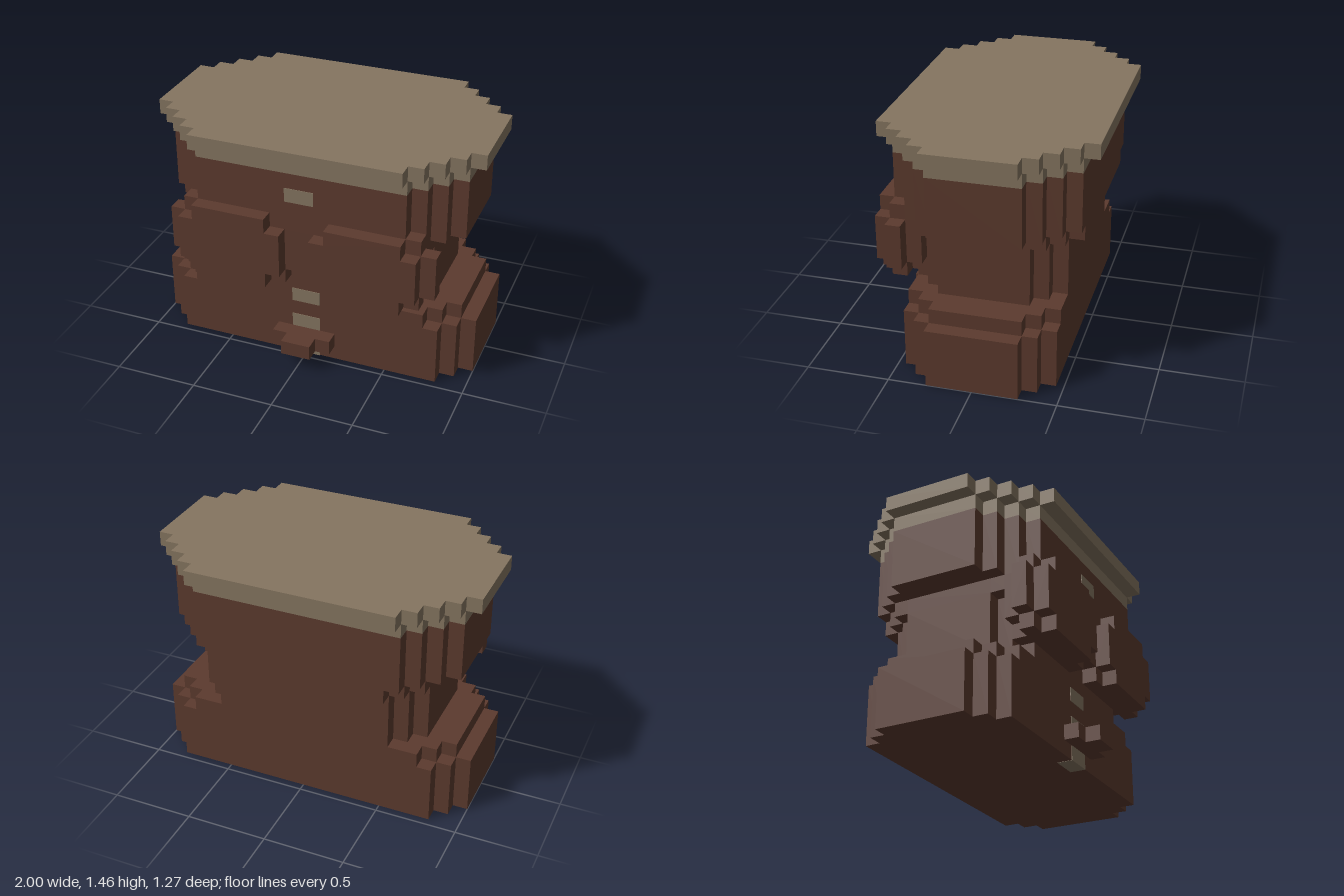
import * as THREE from 'three';
import { mergeGeometries } from 'three/addons/utils/BufferGeometryUtils.js';

const U = 1 / 11; // size of one block

const brown = new THREE.MeshStandardMaterial({ color: 0x5c3a2e });
brown.name = 'brown';
const tan = new THREE.MeshStandardMaterial({ color: 0x857560 });
tan.name = 'tan';

// Layer with stepped corners: halves[0] is the half width for |z| < 3,
// every further entry is one more row of blocks outward.
function layer(halves, y0, y1) {
  const right = [];
  halves.forEach((h, i) => {
    right.push([h, i === 0 ? 0 : 2 + i], [h, 3 + i]);
  });
  right.shift();
  const back = right.map(([x, z]) => [x, -z]).reverse();
  const side = [...back, ...right];
  const other = side.map(([x, z]) => [-x, z]).reverse();
  const pts = [...side, ...other].map(([x, z]) => new THREE.Vector2(x * U, z * U));
  const geo = new THREE.ExtrudeGeometry(new THREE.Shape(pts), {
    depth: (y1 - y0) * U, bevelEnabled: false,
  });
  return geo.rotateX(-Math.PI / 2).translate(0, y0 * U, 0);
}

// Box between two corners, in blocks
function block(x0, x1, y0, y1, z0, z1) {
  return new THREE.BoxGeometry((x1 - x0) * U, (y1 - y0) * U, (z1 - z0) * U)
    .translate((x0 + x1) / 2 * U, (y0 + y1) / 2 * U, (z0 + z1) / 2 * U);
}

export function createModel() {
  const group = new THREE.Group();
  const add = (name, geo, mat) => {
    const mesh = new THREE.Mesh(geo, mat);
    mesh.name = name;
    group.add(mesh);
  };

  // Flared skirt, waist and upper torso
  add('skirt', layer([11, 10, 9], 0, 4), brown);
  add('skirtRim', layer([10, 9, 8], 4, 5), brown);
  add('waist', layer([8, 7, 6], 5, 9), brown);
  add('ribs', layer([8, 8, 7, 6], 9, 10), brown);
  add('upperTorso', layer([10, 9, 8, 7], 10, 14.02), brown);

  // Pale collar band and overhanging top
  add('collar', layer([10, 9, 8, 7], 14.02, 15), tan);
  add('topSlab', layer([11, 10, 9, 8, 7], 15, 16), tan);

  // Chest pads, listed for the left side and mirrored
  const pad = [
    [1, 8, 7, 10, 6, 7], [2, 7, 10, 11, 6, 7], [2, 7, 6, 7, 6, 7],
    [0, 9, 7, 10, 5, 6], [2, 8, 10, 11, 5, 6], [1, 8, 6, 7, 5, 6],
    [5, 8, 7, 10, 4, 5], [5, 7, 6, 7, 4, 5],
  ];
  add('leftChestPad', mergeGeometries(pad.map((b) => block(...b))), brown);
  add('rightChestPad', mergeGeometries(
    pad.map(([x0, x1, ...rest]) => block(-x1, -x0, ...rest))), brown);

  // Belt buckle
  add('buckle', mergeGeometries([
    block(-2, 2, 1, 2, 5, 6), block(-1, 1, 1, 2, 6, 7),
  ]), brown);

  // Buttons down the front: [bottom row, surface z]
  for (const [y, z] of [[12, 6], [4, 5], [2, 5], [0, 5]]) {
    add('button', block(-0.97, 0.97, y + 0.02, y + 0.98, z, z + 0.04), tan);
  }
  // Lowest button wraps under the hem
  add('buttonUnderside', block(-0.97, 0.97, -0.02, 0.02, 4, 5.04), tan);

  return group;
}
